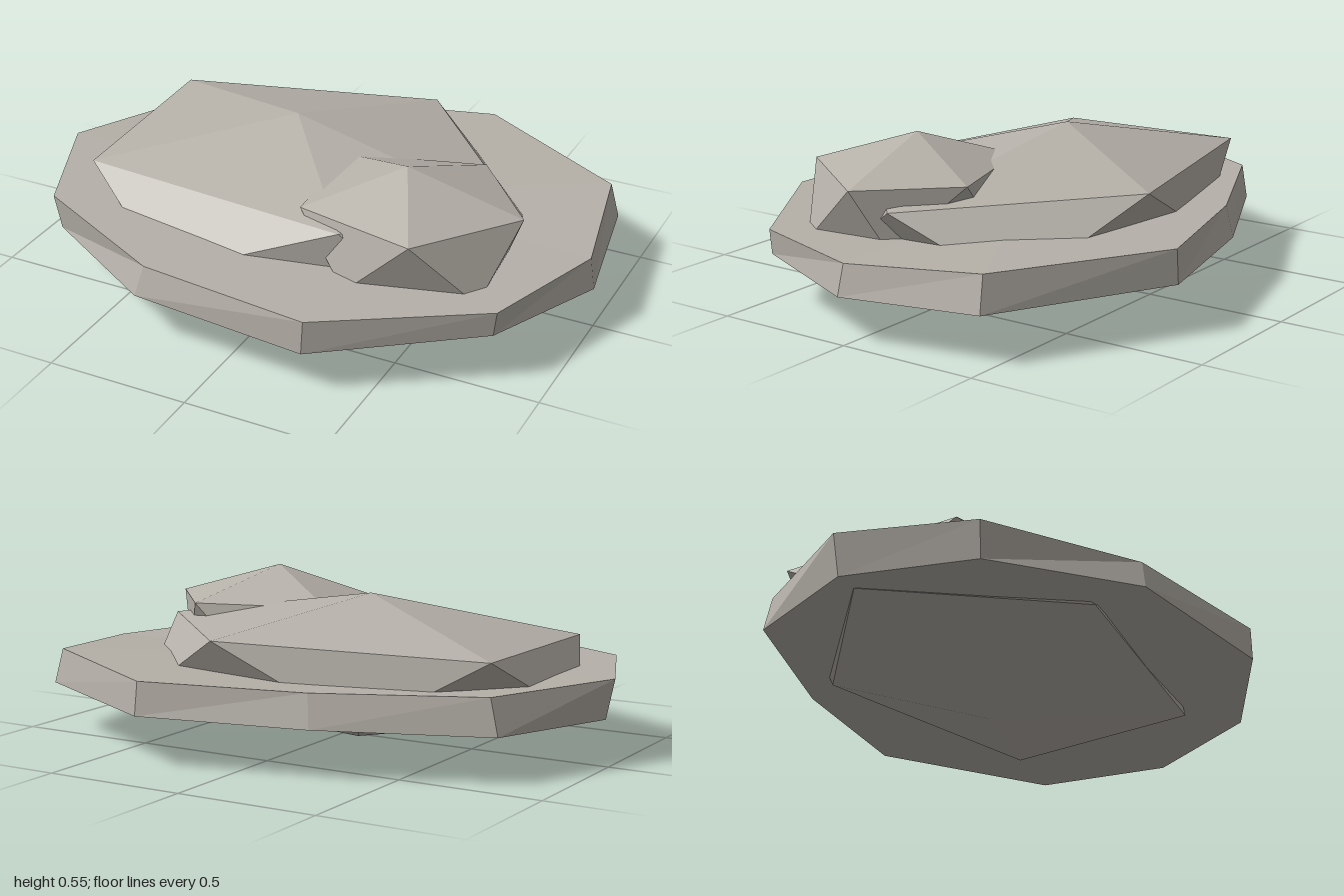
import * as THREE from 'three';

// Closed faceted stone: an upper and a lower ring (counter-clockwise from above), each capped by a centre point.
function facetedStone(name, material, top, upper, lower, bottom) {
  const points = [];
  const face = (...corners) => corners.forEach((c) => points.push(...c));
  upper.forEach((u, i) => {
    const j = (i + 1) % upper.length;
    face(top, u, upper[j]);
    face(u, lower[i], upper[j]);
    face(lower[i], lower[j], upper[j]);
    face(bottom, lower[j], lower[i]);
  });
  const geometry = new THREE.BufferGeometry();
  geometry.setAttribute('position', new THREE.Float32BufferAttribute(points, 3));
  geometry.computeVertexNormals();
  const mesh = new THREE.Mesh(geometry, material);
  mesh.name = name;
  return mesh;
}

export function createModel() {
  const group = new THREE.Group();
  group.name = 'rockPile';
  const stone = new THREE.MeshStandardMaterial({ color: 0xb5b0a8, flatShading: true });
  stone.name = 'warm grey stone';

  // Wide ten-sided base slab
  group.add(facetedStone('baseSlab', stone,
    [0, 0.274, 0],
    [
      [0.98, 0.262, 0.01], [0.885, 0.288, -0.46], [0.31, 0.285, -0.79], [-0.25, 0.28, -0.645], [-0.775, 0.28, -0.41],
      [-1, 0.286, 0.04], [-0.82, 0.28, 0.47], [-0.3, 0.275, 0.73], [0.31, 0.265, 0.785], [0.83, 0.262, 0.46],
    ],
    [
      [1, 0.155, 0.02], [0.915, 0.165, -0.47], [0.315, 0.17, -0.8], [-0.265, 0.165, -0.665], [-0.805, 0.155, -0.415],
      [-0.97, 0.147, 0.04], [-0.8, 0.155, 0.46], [-0.325, 0.17, 0.755], [0.305, 0.148, 0.79], [0.82, 0.175, 0.46],
    ],
    [0, 0.16, 0]));

  // Broad boulder that pokes out above and below the slab
  group.add(facetedStone('largeBoulder', stone,
    [-0.14, 0.515, -0.06],
    [[0.74, 0.365, 0.03], [0.16, 0.4, -0.59], [-0.755, 0.38, -0.37], [-0.745, 0.368, 0.325], [0.27, 0.4, 0.455]],
    [[0.6, 0.145, -0.37], [-0.35, 0.145, -0.5], [-0.88, 0.147, 0.03], [-0.33, 0.158, 0.57], [0.59, 0.147, 0.36]],
    [-0.07, 0, -0.03]));

  // Smaller boulder sunk into the front left of the large one
  group.add(facetedStone('smallBoulder', stone,
    [0.39, 0.548, 0.185],
    [[0.79, 0.43, 0.15], [0.54, 0.435, -0.14], [0.08, 0.435, 0], [0.1, 0.425, 0.39], [0.54, 0.443, 0.505]],
    [[0.7, 0.22, 0.06], [0.33, 0.22, -0.1], [0.08, 0.22, 0.2], [0.31, 0.22, 0.5], [0.73, 0.22, 0.38]],
    [0.4, 0.18, 0.19]));

  return group;
}
